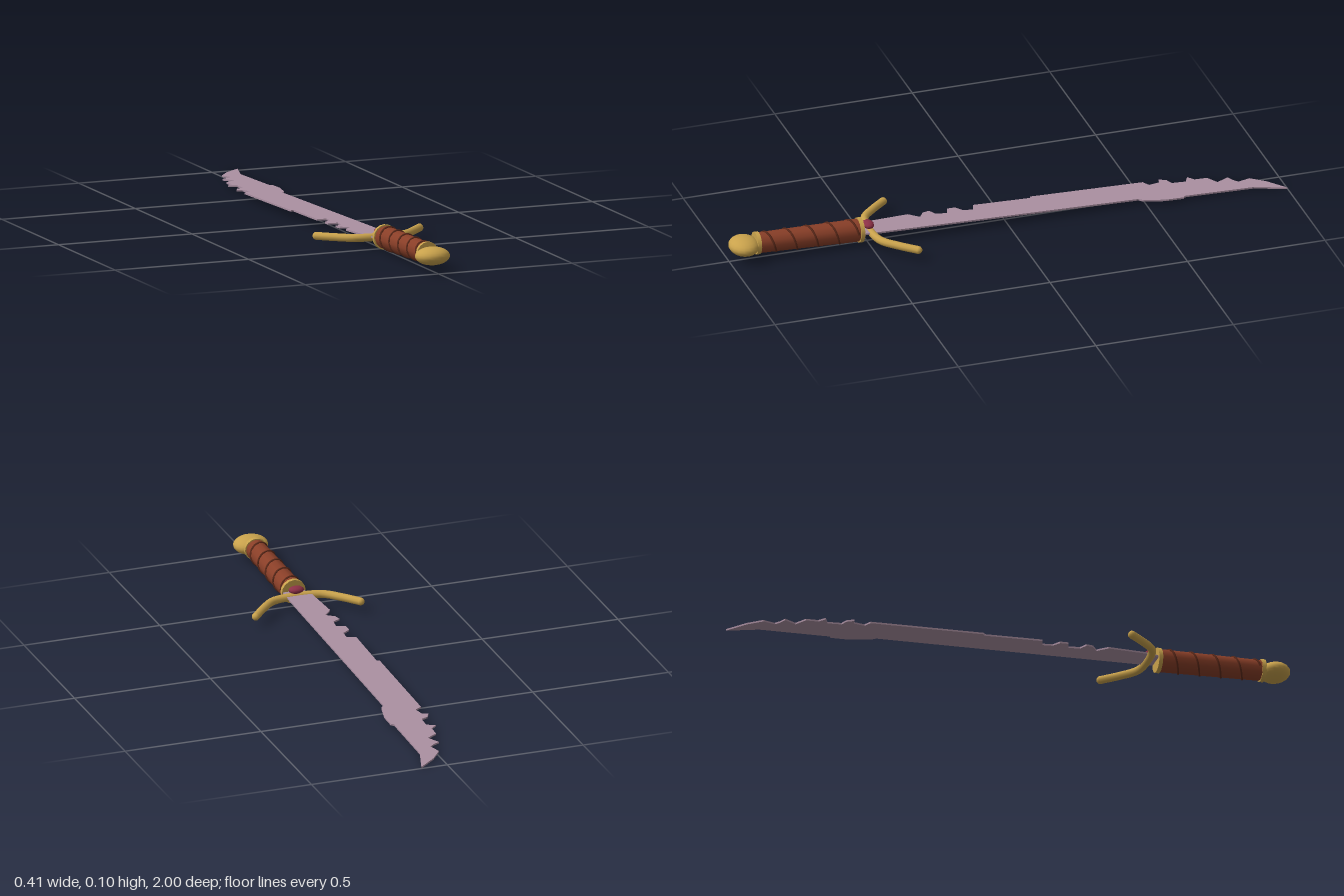
import * as THREE from 'three';

const mat = (name, color, side = THREE.FrontSide) => {
  const m = new THREE.MeshStandardMaterial({ color, side });
  m.name = name;
  return m;
};

export function createModel() {
  const gold = mat('gold', 0xc9a24c);
  const leather = mat('leather', 0x8a3f28);
  const cord = mat('dark cord', 0x5c2919);
  const steel = mat('mauve steel', 0xab90a2, THREE.DoubleSide);
  const ruby = mat('ruby', 0x8c3046);

  // The whole sword lies along z, tip slightly lower than pommel
  const sword = new THREE.Group();
  sword.name = 'sword';
  sword.rotation.x = -0.0277;
  sword.position.y = 0.0336;
  const add = (name, geo, material, x = 0, y = 0, z = 0) => {
    const m = new THREE.Mesh(geo, material);
    m.name = name;
    m.position.set(x, y, z);
    sword.add(m);
    return m;
  };

  // Jagged blade outline as (x, z)
  const outline = [
    [0.04, 0.53], [0.04, -0.475], [0.053, -0.49], [0.07, -0.565], [0.07, -0.63], [0.06, -0.637],
    [0.06, -0.89], [0.095, -1],
    [0.03, -0.945], [-0.008, -0.895], [0.006, -0.85], [-0.012, -0.835], [-0.035, -0.825],
    [-0.01, -0.78], [-0.05, -0.755], [-0.05, -0.71], [-0.073, -0.69], [-0.043, -0.675],
    [-0.045, -0.625], [-0.07, -0.615], [-0.083, -0.59], [-0.062, -0.585], [-0.052, -0.545],
    [-0.078, -0.53], [-0.078, -0.12], [-0.068, -0.12], [-0.07, 0.09], [-0.038, 0.1],
    [-0.04, 0.135], [-0.068, 0.155], [-0.068, 0.185], [-0.036, 0.195], [-0.04, 0.235],
    [-0.068, 0.25], [-0.062, 0.275], [-0.033, 0.295], [-0.063, 0.33], [-0.05, 0.48], [-0.03, 0.53]
  ];
  const shape = new THREE.Shape(outline.map(([x, z]) => new THREE.Vector2(x, -z)));
  const bladeGeo = new THREE.ExtrudeGeometry(shape, { depth: 0.006, bevelEnabled: false });
  bladeGeo.rotateX(-Math.PI / 2);
  add('blade', bladeGeo, steel, 0, -0.003, 0);

  // Curved cross guard with rounded ends
  const guardPoints = [[-0.193, 0.376], [-0.145, 0.43], [-0.09, 0.478], [0, 0.49],
    [0.09, 0.478], [0.145, 0.43], [0.193, 0.376]].map(([x, z]) => new THREE.Vector3(x, -0.004, z));
  const guardCurve = new THREE.CatmullRomCurve3(guardPoints);
  add('crossGuard', new THREE.TubeGeometry(guardCurve, 28, 0.014, 10), gold);
  for (const p of [guardPoints[0], guardPoints[6]]) {
    add('guardEnd', new THREE.SphereGeometry(0.014, 10, 8), gold, p.x, p.y, p.z);
  }

  // Gem on top of the guard
  add('gem', new THREE.SphereGeometry(1, 12, 8), ruby, 0, 0.018, 0.495).scale.set(0.028, 0.013, 0.02);

  // Oval grip, narrowing slightly towards the pommel
  const gripGeo = new THREE.CylinderGeometry(0.036, 0.04, 0.37, 12, 1);
  gripGeo.rotateX(Math.PI / 2);
  add('grip', gripGeo, leather, 0, 0, 0.715);

  // Spiral wrapping around the grip
  const turns = 4.5;
  const spiral = [];
  for (let i = 0; i <= 72; i++) {
    const t = i / 72;
    const a = t * turns * Math.PI * 2;
    const r = 0.04 - 0.004 * t;
    spiral.push(new THREE.Vector3(Math.cos(a) * r, Math.sin(a) * r, 0.54 + 0.345 * t));
  }
  add('gripCord', new THREE.TubeGeometry(new THREE.CatmullRomCurve3(spiral), 144, 0.004, 5), cord);

  // Gold collars at both ends of the grip
  for (const [z, r] of [[0.526, 0.044], [0.9, 0.04]]) {
    const collar = new THREE.CylinderGeometry(r, r, 0.014, 16);
    collar.rotateX(Math.PI / 2);
    add('collar', collar, gold, 0, 0, z);
  }

  // Flattened pommel
  add('pommel', new THREE.SphereGeometry(1, 18, 12), gold, 0, -0.003, 0.946).scale.set(0.062, 0.032, 0.054);

  const model = new THREE.Group();
  model.name = 'model';
  model.add(sword);
  return model;
}
